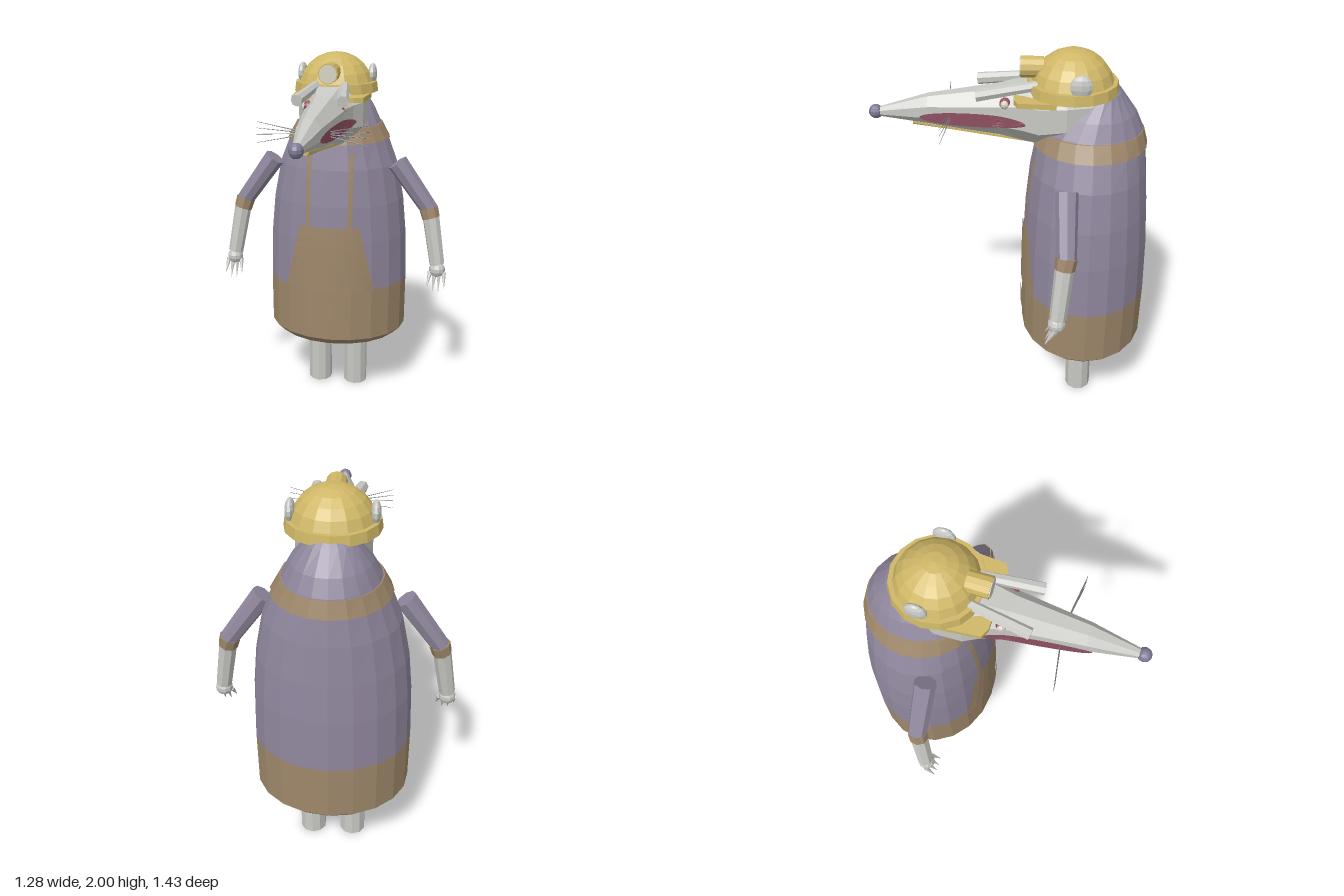
import * as THREE from 'three';

const mat = (name, color) => {
  const m = new THREE.MeshStandardMaterial({ color, flatShading: true });
  m.name = name;
  return m;
};

// Body rings: height, half width, front z, back z
const BODY = [
  [0.38, 0.36, -0.08, -0.68], [0.42, 0.4, -0.045, -0.715], [0.72, 0.4, -0.045, -0.715],
  [1.0, 0.39, -0.05, -0.705], [1.2, 0.37, -0.06, -0.69], [1.4, 0.33, -0.08, -0.67],
  [1.54, 0.275, -0.105, -0.65], [1.62, 0.23, -0.13, -0.632], [1.7, 0.19, -0.2, -0.595],
  [1.8, 0.12, -0.34, -0.52], [1.84, 0.06, -0.38, -0.48],
];

// Skin a list of point rings and close both ends
function loft(rings) {
  const n = rings[0].length, pos = [], idx = [];
  rings.forEach((r) => r.forEach((p) => pos.push(...p)));
  for (let i = 0; i < rings.length - 1; i++) {
    for (let j = 0; j < n; j++) {
      const a = i * n + j, b = i * n + (j + 1) % n;
      idx.push(a, b, b + n, a, b + n, a + n);
    }
  }
  const last = (rings.length - 1) * n;
  for (let j = 1; j < n - 1; j++) idx.push(0, j + 1, j, last, last + j, last + j + 1);
  const g = new THREE.BufferGeometry();
  g.setAttribute('position', new THREE.Float32BufferAttribute(pos, 3));
  g.setIndex(idx);
  const flat = g.toNonIndexed();
  flat.computeVertexNormals();
  return flat;
}

const ovalRing = ([y, rx, zf, zb]) => Array.from({ length: 20 }, (_, k) => {
  const a = (k / 20) * Math.PI * 2;
  return [rx * Math.sin(a), y, (zf + zb) / 2 + (zf - zb) / 2 * Math.cos(a)];
});

// Front surface of the body at a given x and y
function bodyFront(x, y) {
  let i = 0;
  while (i < BODY.length - 2 && BODY[i + 1][0] < y) i++;
  const t = (y - BODY[i][0]) / (BODY[i + 1][0] - BODY[i][0]);
  const [rx, zf, zb] = [1, 2, 3].map((k) => THREE.MathUtils.lerp(BODY[i][k], BODY[i + 1][k], t));
  return (zf + zb) / 2 + (zf - zb) / 2 * Math.sqrt(Math.max(0, 1 - (x / rx) ** 2));
}

// Cloth panel laid on the body front, tapering from bottom to top
function panel(cx, y0, y1, w0, w1, offset) {
  const g = new THREE.PlaneGeometry(2, 1, 8, 6), p = g.attributes.position;
  for (let i = 0; i < p.count; i++) {
    const t = p.getY(i) + 0.5, y = THREE.MathUtils.lerp(y0, y1, t);
    const x = cx + p.getX(i) * THREE.MathUtils.lerp(w0, w1, t);
    p.setXYZ(i, x, y, bodyFront(x, y) + offset);
  }
  g.computeVertexNormals();
  return g;
}

// Head rings: z, half width, bottom, top
const HEAD = [
  [-0.4, 0.13, 1.62, 1.82], [-0.25, 0.18, 1.57, 1.85], [-0.12, 0.17, 1.545, 1.85],
  [-0.04, 0.13, 1.555, 1.84], [0.07, 0.1, 1.575, 1.815], [0.42, 0.06, 1.625, 1.765],
  [0.67, 0.02, 1.655, 1.695],
];

function headWidth(z) {
  let i = 0;
  while (i < HEAD.length - 2 && HEAD[i + 1][0] < z) i++;
  return THREE.MathUtils.mapLinear(z, HEAD[i][0], HEAD[i + 1][0], HEAD[i][1], HEAD[i + 1][1]);
}

const headRing = ([z, w, lo, hi]) => Array.from({ length: 8 }, (_, k) => {
  const a = (k + 0.5) * Math.PI / 4;
  return [1.082 * w * Math.cos(a), (lo + hi) / 2 + 1.082 * (hi - lo) / 2 * Math.sin(a), z];
});

export function createModel() {
  const model = new THREE.Group();
  model.name = 'molePerson';
  const purple = mat('purple cloth', 0x8f869c), brown = mat('brown apron', 0x9e876a);
  const grey = mat('pale skin', 0xc8c8c4), yellow = mat('helmet yellow', 0xcfb766);
  const red = mat('mouth red', 0x8f5060), noseColor = mat('nose violet', 0x7f7a96);
  const dark = mat('whisker grey', 0x77757a), white = mat('lamp glass', 0xd6d3c2);
  red.side = THREE.DoubleSide;

  const add = (name, geo, material, pos = [0, 0, 0], scale = [1, 1, 1]) => {
    const m = new THREE.Mesh(geo, material);
    m.name = name;
    m.position.set(...pos);
    m.scale.set(...scale);
    model.add(m);
    return m;
  };
  // Round rod between two points
  const limb = (name, a, b, ra, rb, material, sides = 8) => {
    const from = new THREE.Vector3(...a), to = new THREE.Vector3(...b), dir = to.clone().sub(from);
    const m = add(name, new THREE.CylinderGeometry(rb, ra, dir.length(), sides), material);
    m.position.copy(from).add(to).multiplyScalar(0.5);
    m.quaternion.setFromUnitVectors(new THREE.Vector3(0, 1, 0), dir.normalize());
    return m;
  };
  const ball = (r) => new THREE.SphereGeometry(r, 10, 7);

  // Body and clothing
  add('apronSkirt', loft(BODY.slice(0, 3).map(ovalRing)), brown);
  add('coat', loft(BODY.slice(2).map(ovalRing)), purple);
  add('collar', loft([[1.535, 0.285, -0.09, -0.662], [1.615, 0.24, -0.115, -0.638]].map(ovalRing)), brown);
  add('apronBib', panel(0, 0.72, 1.09, 0.25, 0.165, 0.008), brown);
  add('pocket', panel(0, 0.54, 0.66, 0.115, 0.115, 0.009), brown);

  // Head, jaw and nose
  add('head', loft(HEAD.map(headRing)), grey);
  add('lowerJaw', loft([[-0.13, 0.06, 1.53, 1.56], [0.5, 0.015, 1.612, 1.64]].map(headRing)), yellow);
  add('nose', ball(0.035), noseColor, [0, 1.675, 0.68]);

  // Helmet
  const dome = new THREE.SphereGeometry(0.205, 16, 6, 0, Math.PI * 2, 0, Math.PI / 2);
  add('helmetDome', dome, yellow, [0, 1.795, -0.28]);
  add('helmetBand', new THREE.CylinderGeometry(0.218, 0.225, 0.05, 16), yellow, [0, 1.825, -0.28]);
  const brim = new THREE.Shape([[-0.2, 0.2], [-0.185, 0.02], [-0.14, 0], [0.14, 0], [0.185, 0.02], [0.2, 0.2]]
    .map(([x, y]) => new THREE.Vector2(x, y)));
  const visor = add('helmetVisor', new THREE.ExtrudeGeometry(brim, { depth: 0.025, bevelEnabled: false }),
    yellow, [0, 1.8, 0]);
  visor.rotation.x = -Math.PI / 2;
  visor.position.y = 1.775;
  limb('lampHousing', [0, 1.91, -0.14], [0, 1.91, -0.03], 0.05, 0.052, yellow, 12);
  limb('lampGlass', [0, 1.91, -0.031], [0, 1.91, -0.026], 0.046, 0.046, white, 12);

  for (const s of [1, -1]) {
    const side = s > 0 ? 'left' : 'right';
    const M = (x, y, z) => [s * x, y, z];
    add(side + 'Strap', panel(s * 0.115, 1.085, 1.49, 0.0125, 0.0125, 0.008), brown);

    // Leg and arm
    limb(side + 'Leg', M(0.11, 0, -0.378), M(0.11, 0.45, -0.37), 0.07, 0.068, grey, 10);
    limb(side + 'UpperArm', M(0.343, 1.422, -0.255), M(0.528, 1.165, -0.258), 0.056, 0.048, purple);
    limb(side + 'Cuff', M(0.522, 1.175, -0.258), M(0.538, 1.12, -0.25), 0.053, 0.05, brown);
    limb(side + 'Forearm', M(0.537, 1.13, -0.25), M(0.585, 0.86, -0.225), 0.047, 0.042, grey);
    add(side + 'Hand', ball(0.045), grey, M(0.587, 0.83, -0.22));
    for (let k = 0; k < 4; k++) {
      const x = 0.55 + k * 0.025, tip = 0.537 + k * 0.032;
      limb(side + 'Claw', M(x, 0.815, -0.212), M(tip, k % 3 ? 0.715 : 0.74, -0.165), 0.014, 0.001, grey, 6);
    }

    // Ear, brow tube and eye
    add(side + 'Ear', ball(1), grey, M(0.19, 1.885, -0.31), [0.024, 0.055, 0.055]);
    limb(side + 'Brow', M(0.07, 1.845, -0.13), M(0.113, 1.807, 0.18), 0.024, 0.03, grey, 7);
    add(side + 'EyeRim', ball(0.03), red, M(0.085, 1.757, 0.04));
    add(side + 'Eye', ball(0.022), white, M(0.098, 1.758, 0.042));

    // Mouth patch hugging the cheek
    const mouth = new THREE.CircleGeometry(1, 32), p = mouth.attributes.position;
    const strip = new THREE.RingGeometry(0.001, 1, 32, 6);
    for (const g of [strip]) {
      const q = g.attributes.position;
      for (let i = 0; i < q.count; i++) {
        const z = 0.2 + 0.258 * q.getX(i), y = 1.672 + 0.034 * q.getY(i);
        q.setXYZ(i, s * (headWidth(z) + 0.006), y, z);
      }
      g.computeVertexNormals();
    }
    add(side + 'Mouth', strip, red);

    // Whiskers
    for (const y of [1.73, 1.7, 1.67, 1.63]) {
      limb(side + 'Whisker', M(0.07, 1.675 + (y - 1.675) * 0.2, 0.31), M(0.27, y, 0.34), 0.003, 0.001, dark, 4);
    }
  }
  return model;
}
